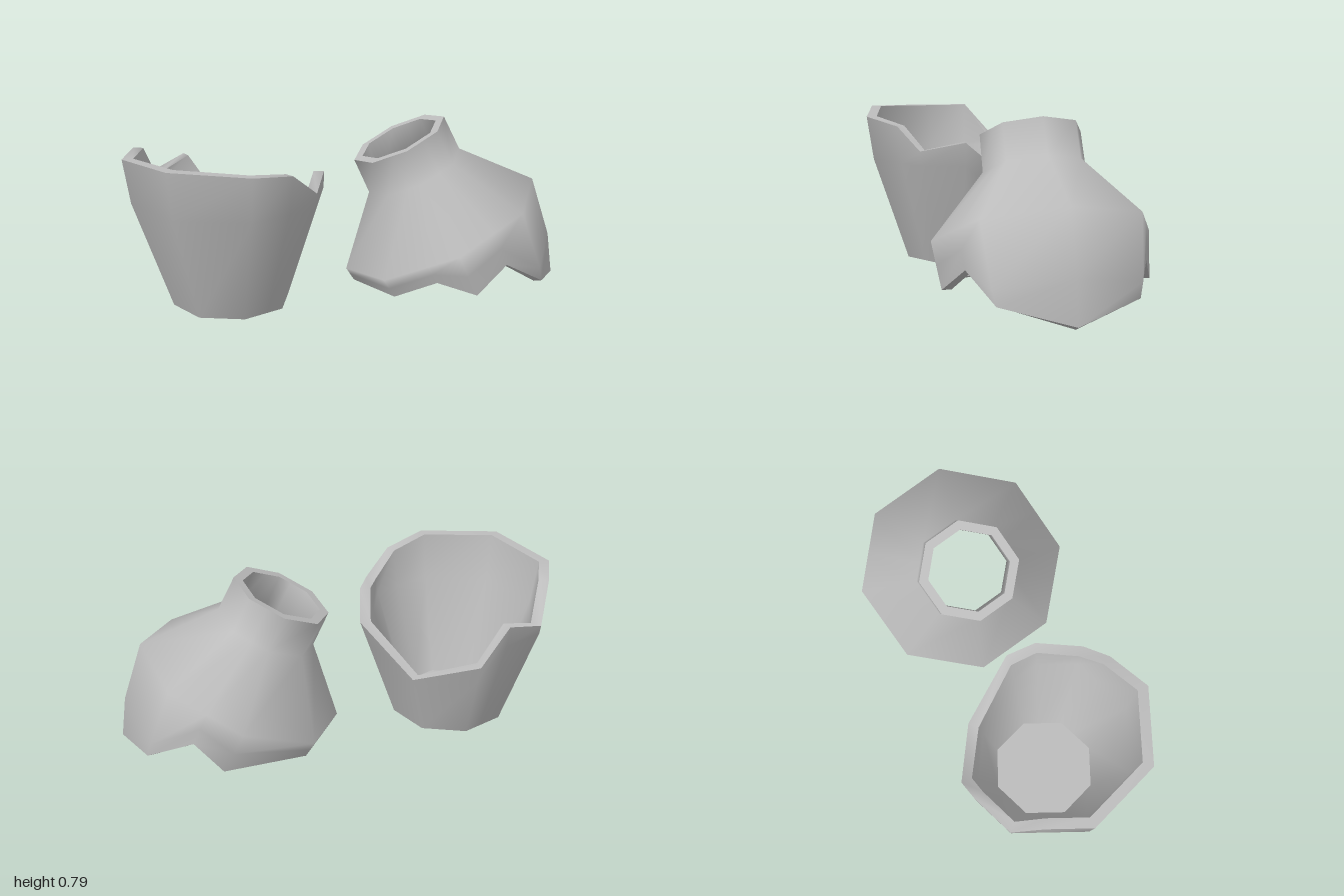
import * as THREE from 'three';

const clay = new THREE.MeshStandardMaterial({ color: 0xbcbcbc });
clay.name = 'grey clay';

// Radius at height h along a piecewise linear profile of [height, radius]
function radiusAt(profile, h) {
  for (let i = 1; i < profile.length; i++) {
    const [h0, r0] = profile[i - 1], [h1, r1] = profile[i];
    if (h <= h1 || i === profile.length - 1) return r0 + (r1 - r0) * (h - h0) / (h1 - h0);
  }
}

// Octagon with its first corner at the phase angle
function octagon(deg, phase) {
  const a = (((deg - phase) % 45) + 45) % 45 - 22.5;
  return Math.cos(Math.PI / 8) / Math.cos(a * Math.PI / 180);
}

// Smooth closed band through rows; each row maps a column's break height to [radius, height]
function band(name, columns, phase, rows) {
  const n = columns.length, pos = [], index = [];
  for (const row of rows) {
    for (const [deg, edge] of columns) {
      const [r, h] = row(edge), a = deg * Math.PI / 180, k = r * octagon(deg, phase);
      pos.push(k * Math.cos(a), h, k * Math.sin(a));
    }
  }
  for (let j = 0; j < rows.length - 1; j++) {
    for (let i = 0; i < n; i++) {
      const a = j * n + i, b = j * n + (i + 1) % n;
      index.push(a, a + n, b, b, a + n, b + n);
    }
  }
  const g = new THREE.BufferGeometry();
  g.setAttribute('position', new THREE.Float32BufferAttribute(pos, 3));
  g.setIndex(index);
  g.computeVertexNormals();
  const mesh = new THREE.Mesh(g, clay);
  mesh.name = name;
  return mesh;
}

// Lower half of the pot: floor, flared wall and jagged top
function lowerShard() {
  const group = new THREE.Group();
  group.name = 'lowerShard';
  const profile = [[0.01, 0.265], [0.5, 0.435], [0.72, 0.47]];
  const t = 0.05, phase = 0;
  // Angle and height of the broken edge
  const edge = [[0, 0.5], [17, 0.61], [45, 0.57], [63, 0.675], [90, 0.705], [135, 0.72],
    [180, 0.7], [206, 0.7], [225, 0.54], [252, 0.6], [270, 0.42], [315, 0.32]];
  const outer = h => [radiusAt(profile, h), h];
  const inner = h => [radiusAt(profile, h) - t, h];
  const mid = e => (e > 0.51 ? 0.5 : e * 0.8);
  const parts = {
    base: [() => [0, 0.01], () => outer(0.01)],
    outerWall: [() => outer(0.01), e => outer(mid(e)), e => outer(e)],
    brokenRim: [e => outer(e), e => inner(e)],
    innerWall: [e => inner(e), e => inner(mid(e)), () => inner(0.06)],
    floor: [() => inner(0.06), () => [0, 0.06]],
  };
  for (const name in parts) group.add(band(name, edge, phase, parts[name]));
  group.position.set(-0.53, 0, -0.015);
  return group;
}

// Upper half of the pot: neck, shoulder and jagged bottom, lying tilted
function upperShard() {
  const group = new THREE.Group();
  group.name = 'upperShard';
  const profile = [[-0.93, 0.385], [-0.745, 0.445], [-0.46, 0.482], [-0.17, 0.23], [0, 0.227]];
  const t = 0.042, phase = 9;
  const edge = [[9, -0.927], [54, -0.81], [74, -0.63], [99, -0.67], [117, -0.55], [144, -0.555],
    [189, -0.527], [234, -0.535], [279, -0.67], [301, -0.625], [324, -0.81]];
  const outer = h => [radiusAt(profile, h), h];
  const inner = h => [radiusAt(profile, h) - t, h];
  const mid = e => (e < -0.75 ? -0.745 : (e - 0.46) / 2);
  const parts = {
    outerShell: [e => outer(e), e => outer(mid(e)), () => outer(-0.46), () => outer(-0.17), () => outer(0)],
    neckRim: [() => outer(0), () => inner(0)],
    innerShell: [() => inner(0), () => inner(-0.17), () => inner(-0.46), e => inner(mid(e)), e => inner(e)],
    brokenEdge: [e => inner(e), e => outer(e)],
  };
  for (const name in parts) group.add(band(name, edge, phase, parts[name]));
  // Lean the neck axis to the side and slightly back
  const axis = new THREE.Vector3(-0.416, 0.907, -0.07).normalize();
  const side = new THREE.Vector3(0.909, 0.417, 0).normalize();
  const depth = new THREE.Vector3().crossVectors(side, axis).normalize();
  side.crossVectors(axis, depth);
  group.quaternion.setFromRotationMatrix(new THREE.Matrix4().makeBasis(side, axis, depth));
  group.position.set(0.27, 0.695, -0.035);
  return group;
}

export function createModel() {
  const model = new THREE.Group();
  model.name = 'brokenPot';
  model.add(lowerShard(), upperShard());
  return model;
}
